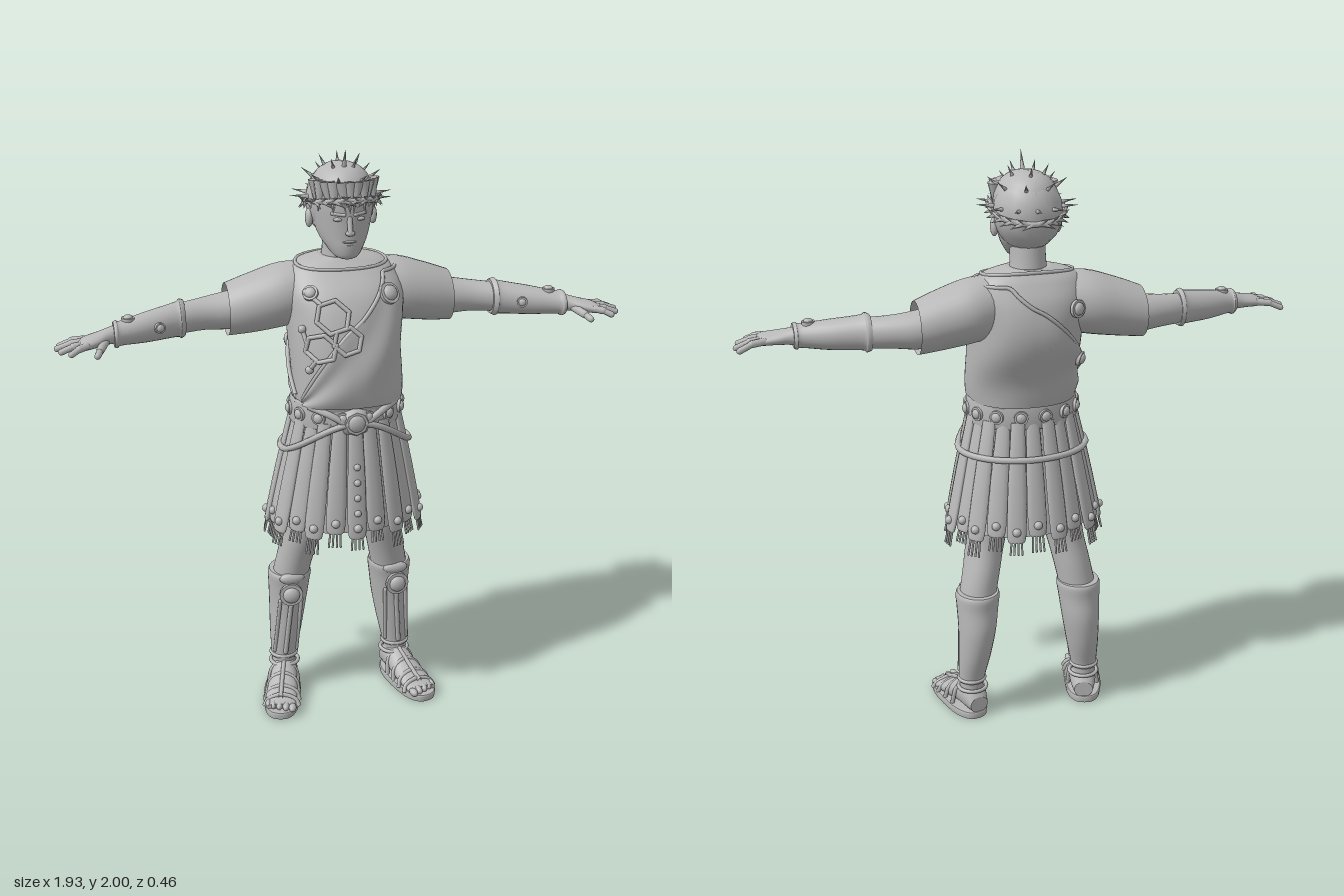
import * as THREE from 'three';
import { mergeGeometries } from 'three/addons/utils/BufferGeometryUtils.js';

const V = (x, y, z) => new THREE.Vector3(x, y, z);
const UP = V(0, 1, 0);

// Catmull-Rom refinement of cross-section rows [t, u, v, ru, rv]
function refine(rows, k) {
  const out = [];
  for (let i = 0; i < rows.length - 1; i++) {
    const a = rows[Math.max(i - 1, 0)], b = rows[i], c = rows[i + 1], d = rows[Math.min(i + 2, rows.length - 1)];
    for (let j = 0; j < k; j++) {
      const t = j / k;
      out.push(b.map((_, m) => b[m] + 0.5 * t * (c[m] - a[m] + t * (2 * a[m] - 5 * b[m] + 4 * c[m] - d[m] + t * (3 * (b[m] - c[m]) + d[m] - a[m])))));
    }
  }
  out.push(rows[rows.length - 1]);
  return out;
}
const sup = (w, e) => Math.sign(w) * Math.abs(w) ** (2 / e);
const clean = g => { g.deleteAttribute('uv'); return g; };
const join = list => mergeGeometries(list);

// Skin over superellipse rings along an axis (t rising), with capped ends unless open
function loft(rows, { axis = 'y', n = 28, e = 2, open = false, k = 4 } = {}) {
  const R = refine(rows, k), pos = [], idx = [];
  const put = (t, u, v) => pos.push(...(axis === 'y' ? [u, t, v] : axis === 'x' ? [t, v, u] : [v, u, t]));
  const ring = r => {
    for (let j = 0; j < n; j++) {
      const a = j / n * Math.PI * 2;
      put(r[0], r[1] + r[3] * sup(Math.cos(a), e), r[2] + r[4] * sup(Math.sin(a), e));
    }
  };
  R.forEach(ring);
  for (let i = 0; i < R.length - 1; i++) for (let j = 0; j < n; j++) {
    const p = i * n + j, q = i * n + (j + 1) % n;
    idx.push(p, p + n, q, q, p + n, q + n);
  }
  if (!open) for (const [r, top] of [[R[0], 0], [R[R.length - 1], 1]]) {
    const c = pos.length / 3;
    put(r[0], r[1], r[2]);
    ring(r);
    for (let j = 0; j < n; j++) {
      const p = c + 1 + j, q = c + 1 + (j + 1) % n;
      top ? idx.push(c, q, p) : idx.push(c, p, q);
    }
  }
  const g = new THREE.BufferGeometry();
  g.setAttribute('position', new THREE.Float32BufferAttribute(pos, 3));
  g.setIndex(idx);
  g.computeVertexNormals();
  return g;
}

// Put a geometry at p with its y axis along dir
const aim = (g, p, dir) => clean(g).applyQuaternion(new THREE.Quaternion().setFromUnitVectors(UP, dir.clone().normalize())).translate(p.x, p.y, p.z);
const capsule = (a, b, r) => aim(new THREE.CapsuleGeometry(r, a.distanceTo(b), 4, 10), a.clone().lerp(b, 0.5), b.clone().sub(a));
const spike = (p, dir, len, r) => aim(new THREE.ConeGeometry(r, len, 7).translate(0, len / 2, 0), p, dir);
const ball = (p, rx, ry = rx, rz = rx) => clean(new THREE.SphereGeometry(1, 14, 10)).scale(rx, ry, rz).translate(p.x, p.y, p.z);
const tube = (pts, r, closed = false, seg = 60) => clean(new THREE.TubeGeometry(new THREE.CatmullRomCurve3(pts, closed), seg, r, 7, closed));
const stud = (p, dir, r) => join([
  aim(new THREE.CylinderGeometry(r, r, 0.012, 18), p, dir),
  aim(new THREE.SphereGeometry(r * 0.72, 14, 8).scale(1, 0.6, 1), p.clone().addScaledVector(dir, 0.006), dir)]);
function mirror(g) {
  const m = g.clone().scale(-1, 1, 1), ix = m.index.array;
  for (let i = 0; i < ix.length; i += 3) [ix[i], ix[i + 1]] = [ix[i + 1], ix[i]];
  return m;
}

// Torso profile, shared by everything lying on it
const torsoRows = [[1.12, 0, 0.025, 0.172, 0.138], [1.18, 0, 0.027, 0.178, 0.156], [1.25, 0, 0.018, 0.18, 0.168],
  [1.35, 0, -0.005, 0.185, 0.184], [1.45, 0, -0.025, 0.19, 0.179], [1.53, 0, -0.04, 0.195, 0.154],
  [1.59, 0, -0.055, 0.178, 0.108], [1.62, 0, -0.06, 0.14, 0.08], [1.635, 0, -0.06, 0.075, 0.065]];
const torsoFine = refine(torsoRows, 6);
function onTorso(a, y, off = 0) {
  let i = 0;
  while (i < torsoFine.length - 2 && torsoFine[i + 1][0] < y) i++;
  const p = torsoFine[i], q = torsoFine[i + 1], t = (y - p[0]) / (q[0] - p[0]);
  const r = p.map((w, m) => w + (q[m] - w) * t);
  return V((r[3] + off) * sup(Math.cos(a), 2.4), y, r[2] + (r[4] + off) * sup(Math.sin(a), 2.4));
}
function normalAt(a, y) {
  const u = onTorso(a - 0.05, y).sub(onTorso(a + 0.05, y)), w = onTorso(a, y + 0.01).sub(onTorso(a, y - 0.01));
  return w.cross(u).normalize().multiplyScalar(-1);
}
// Skirt cone: t = 0 at the belt, 1 at the hem
const onSkirt = (a, t, off = 0) => V((0.172 + 0.088 * t + off) * Math.cos(a), 1.11 - 0.41 * t, 0.025 - 0.02 * t + (0.138 + 0.052 * t + off) * Math.sin(a));

export function createModel() {
  const model = new THREE.Group();
  const grey = new THREE.MeshStandardMaterial({ color: 0xb8b8b8, side: THREE.DoubleSide });
  grey.name = 'stone grey';
  const add = (name, g) => { const m = new THREE.Mesh(g, grey); m.name = name; model.add(m); };
  const pair = (name, g) => { add(name + 'Left', g); add(name + 'Right', mirror(g)); };
  const outward = (a, y) => { const d = normalAt(a, y), p = onTorso(a, y); return d.x * p.x + d.z * (p.z + 0.01) < 0 ? d.negate() : d; };

  // Head, face and hair
  add('neck', loft([[1.56, 0, -0.06, 0.085, 0.075], [1.63, 0, -0.058, 0.062, 0.064], [1.72, 0, -0.05, 0.058, 0.062]]));
  add('head', loft([[1.645, 0, 0.05, 0.02, 0.02], [1.655, 0, 0.038, 0.042, 0.045], [1.685, 0, 0.01, 0.065, 0.079], [1.72, 0, -0.015, 0.084, 0.104],
    [1.77, 0, -0.03, 0.098, 0.121], [1.82, 0, -0.035, 0.106, 0.128], [1.87, 0, -0.035, 0.103, 0.123], [1.91, 0, -0.035, 0.083, 0.102], [1.935, 0, -0.035, 0.05, 0.065], [1.945, 0, -0.035, 0.006, 0.006]]));
  add('nose', join([capsule(V(0, 1.785, 0.087), V(0, 1.742, 0.1), 0.009), ball(V(0, 1.738, 0.097), 0.016, 0.01, 0.012)]));
  add('mouth', join([ball(V(0, 1.707, 0.083), 0.024, 0.005, 0.012), ball(V(0, 1.698, 0.079), 0.019, 0.006, 0.012)]));
  pair('eye', ball(V(0.036, 1.782, 0.08), 0.017, 0.007, 0.009));
  pair('brow', capsule(V(0.018, 1.797, 0.089), V(0.055, 1.801, 0.074), 0.006));
  pair('ear', ball(V(0.108, 1.765, -0.035), 0.013, 0.032, 0.021));
  const locks = [ball(V(0, 1.815, -0.053), 0.116, 0.13, 0.122)];
  for (let i = -5; i <= 5; i++) {
    const a = Math.PI / 2 + i * 0.24;
    locks.push(spike(V(0.1 * Math.cos(a), 1.9, -0.035 + 0.112 * Math.sin(a)), V(0.15 * Math.cos(a) + (i % 2) * 0.15, -1, 0.2 * Math.sin(a)), 0.1, 0.026));
  }
  add('hair', join(locks));

  // Leafy wreath and thorns
  const wreathAt = (a, r = 0) => V((0.118 + r) * Math.cos(a), 1.82 + 0.025 * Math.sin(a), -0.038 + (0.137 + r) * Math.sin(a));
  const leaves = [tube(Array.from({ length: 24 }, (_, i) => wreathAt(i * Math.PI / 12)), 0.009, true)];
  for (let i = 0; i < 44; i++) {
    const a = i / 44 * Math.PI * 2, s = Math.cos(a) < 0 ? -1 : 1;
    leaves.push(spike(wreathAt(a), V(-Math.sin(a) * s + 0.4 * Math.cos(a), i % 2 ? 0.55 : -0.45, Math.cos(a) * s + 0.4 * Math.sin(a)), 0.045, 0.009));
  }
  add('wreath', join(leaves));
  const thorns = [];
  [[0.12, 12, 0.065], [0.65, 8, 0.055], [1.1, 5, 0.05]].forEach(([el, count, len], row) => {
    for (let i = 0; i < count; i++) {
      const a = (i + row * 0.4) / count * Math.PI * 2;
      const d = V(Math.cos(el) * Math.cos(a), Math.sin(el), Math.cos(el) * Math.sin(a));
      thorns.push(spike(V(d.x * 0.108, 1.82 + d.y * 0.115, -0.04 + d.z * 0.122), d, len, 0.008));
    }
  });
  thorns.push(spike(V(0, 1.935, 0.01), V(0, 1, 0.3), 0.067, 0.009));
  add('thorns', join(thorns));

  // Tunic, sleeves and sash
  add('tunic', loft(torsoRows, { e: 2.4, n: 48, k: 6 }));
  pair('sleeve', loft([[0.1, -0.065, 1.51, 0.09, 0.1], [0.2, -0.07, 1.5, 0.112, 0.108], [0.3, -0.073, 1.478, 0.106, 0.1], [0.385, -0.08, 1.458, 0.094, 0.088]], { axis: 'x', open: true }));
  const A0 = 2.65, A1 = -3.35, cols = 72, rowsN = 16, sp = [], si = [], edge = [];
  for (let i = 0; i <= cols; i++) {
    const a = A0 + (A1 - A0) * i / cols, f = a > 0 ? (A0 - a) / 1.75 : (a - A1) / 2.2;
    const top = 1.19 + 0.4 * Math.min(1, Math.max(0, f));
    edge.push(onTorso(a, top, 0.007));
    for (let j = 0; j <= rowsN; j++) {
      const w = j / rowsN, p = onTorso(a, 1.165 + (top - 1.165) * w, 0.009 + 0.004 * Math.sin(a * 3 + w * 9));
      sp.push(p.x, p.y, p.z);
      const q = i * (rowsN + 1) + j;
      if (i < cols && j < rowsN) si.push(q, q + 1, q + rowsN + 1, q + 1, q + rowsN + 2, q + rowsN + 1);
    }
  }
  for (let i = 0; i < si.length; i += 3) [si[i], si[i + 1]] = [si[i + 1], si[i]];
  const sash = new THREE.BufferGeometry();
  sash.setAttribute('position', new THREE.Float32BufferAttribute(sp, 3));
  sash.setIndex(si);
  sash.computeVertexNormals();
  add('sash', sash);
  add('sashHem', tube(edge, 0.007, false, 120));
  add('neckline', tube(Array.from({ length: 16 }, (_, i) => onTorso(i * Math.PI / 8, 1.615 - 0.012 * Math.sin(i * Math.PI / 8), 0.002)), 0.006, true));

  // Brooches and hexagonal chest ornament
  const brooches = [[0.95, 1.53, 0.037], [2.2, 1.545, 0.026], [-2.2, 1.51, 0.03], [-2.5, 1.32, 0.026]].map(([a, y, r]) => stud(onTorso(a, y, 0.012), outward(a, y), r));
  add('brooches', join(brooches));
  const angleOf = (x, y) => { let lo = 0, hi = Math.PI; for (let i = 0; i < 30; i++) { const m = (lo + hi) / 2; onTorso(m, y).x > x ? lo = m : hi = m; } return lo; };
  const chestAt = (x, y) => onTorso(angleOf(x, y), y, 0.012);
  const lattice = [];
  for (const [hx, hy, r] of [[-0.065, 1.475, 0.052], [-0.025, 1.4, 0.045], [-0.105, 1.375, 0.046]])
    for (let i = 0; i < 6; i++) {
      const c = m => chestAt(hx + r * Math.cos(m * Math.PI / 3 + 0.3), hy + r * Math.sin(m * Math.PI / 3 + 0.3));
      lattice.push(capsule(c(i), c(i + 1), 0.0075));
    }
  for (const [a, b, c, d] of [[-0.1, 1.515, -0.135, 1.545], [-0.12, 1.335, -0.14, 1.3], [-0.145, 1.39, -0.155, 1.43]])
    lattice.push(capsule(chestAt(a, b), chestAt(c, d), 0.0075), ball(chestAt(c, d), 0.014));
  add('chestOrnament', join(lattice));

  // Belt, buckle and hanging cord
  add('belt', loft([[1.085, 0, 0.025, 0.186, 0.145], [1.09, 0, 0.025, 0.194, 0.153], [1.165, 0, 0.025, 0.19, 0.153], [1.17, 0, 0.025, 0.182, 0.145]], { n: 40, k: 2 }));
  const beltStuds = [];
  for (let i = 0; i < 14; i++) {
    const a = Math.PI / 2 + (i + 0.5) / 14 * Math.PI * 2;
    beltStuds.push(stud(V(0.192 * Math.cos(a), 1.128, 0.025 + 0.155 * Math.sin(a)), V(Math.cos(a), 0, Math.sin(a)), 0.024));
  }
  add('beltStuds', join(beltStuds));
  add('buckle', join([aim(new THREE.CylinderGeometry(0.04, 0.055, 0.022, 8), V(0, 1.115, 0.185), V(0, 0, 1)), ball(V(0, 1.115, 0.194), 0.03, 0.03, 0.014)]));
  const cord = Array.from({ length: 32 }, (_, i) => {
    const a = i / 32 * Math.PI * 2, t = 0.3 - 0.31 * Math.max(0, Math.sin(a)) ** 2;
    return onSkirt(a, t, 0.026);
  });
  add('hipCord', tube(cord, 0.011, true, 100));
  pair('frontStrap', tube([V(0.03, 1.11, 0.184), V(0.09, 1.145, 0.17), V(0.15, 1.165, 0.128)], 0.012, false, 16));

  // Skirt lining and overlapping strips with studs and tassels
  add('skirtLining', loft([[0.71, 0, 0.005, 0.243, 0.174], [0.9, 0, 0.015, 0.205, 0.152], [1.12, 0, 0.025, 0.165, 0.13]], { open: true, n: 40 }));
  const strips = [], stripStuds = [], tassels = [];
  const N = 22;
  for (let i = 0; i < N; i++) {
    const a = Math.PI / 2 + i / N * Math.PI * 2, off = i % 2 ? 0.004 : 0.013;
    const hi = onSkirt(a, 0, off), lo = onSkirt(a, i % 2 ? 0.96 : 1, off), L = hi.distanceTo(lo);
    const Y = hi.clone().sub(lo).normalize(), X = onSkirt(a - 0.05, 0.7).sub(onSkirt(a + 0.05, 0.7)).normalize();
    const Z = X.clone().cross(Y).normalize();
    const at = (x, y, z) => lo.clone().addScaledVector(X, x).addScaledVector(Y, y).addScaledVector(Z, z);
    const basis = new THREE.Matrix4().makeBasis(Y.clone().cross(Z), Y, Z).setPosition(lo);
    strips.push(loft([[0, 0, 0, 0.022, 0.008], [0.03, 0, 0, 0.033, 0.011], [L * 0.5, 0, 0, 0.031, 0.013], [L, 0, 0, 0.023, 0.01]], { n: 12, k: 3 }).applyMatrix4(basis));
    stripStuds.push(ball(at(0, 0.04, 0.01), 0.015));
    for (const x of [-0.017, -0.006, 0.006, 0.017]) tassels.push(capsule(at(x, 0.01, 0), at(x * 1.2, -0.04 - (i % 3) * 0.007, 0), 0.0035));
    if (i === 0) for (let s = 1; s < 5; s++) stripStuds.push(ball(at(0, 0.04 + s * 0.055, 0.013), 0.012));
  }
  add('skirtStrips', join(strips));
  add('skirtStuds', join(stripStuds));
  add('skirtTassels', join(tassels));
  add('hips', loft([[0.78, 0, 0, 0.1, 0.07], [0.85, 0, 0, 0.165, 0.11], [1.1, 0, 0.02, 0.16, 0.12]]));

  // Arms, bracers and hands
  pair('arm', loft([[0.2, -0.083, 1.48, 0.07, 0.075], [0.36, -0.085, 1.455, 0.068, 0.066], [0.46, -0.075, 1.45, 0.056, 0.055], [0.56, -0.045, 1.445, 0.05, 0.05],
    [0.68, -0.005, 1.437, 0.044, 0.042], [0.77, 0.025, 1.432, 0.034, 0.029], [0.82, 0.045, 1.426, 0.044, 0.023], [0.865, 0.06, 1.42, 0.049, 0.019], [0.885, 0.067, 1.416, 0.042, 0.012]], { axis: 'x' }));
  pair('bracer', loft([[0.53, -0.052, 1.447, 0.057, 0.06], [0.545, -0.047, 1.447, 0.062, 0.066], [0.56, -0.042, 1.446, 0.055, 0.058], [0.66, -0.01, 1.438, 0.052, 0.05],
    [0.745, 0.02, 1.433, 0.044, 0.04], [0.76, 0.025, 1.432, 0.05, 0.045], [0.77, 0.028, 1.432, 0.046, 0.041]], { axis: 'x', n: 24 }));
  pair('bracerStud', join([stud(V(0.72, 1.476, 0.013), V(0, 1, 0), 0.022), stud(V(0.62, 1.445, 0.035), V(-0.3, 0.1, 1).normalize(), 0.018)]));
  const fingers = [[0.022, 0.945, 0.008], [0.047, 0.953, 0.04], [0.073, 0.942, 0.083], [0.097, 0.912, 0.122]].map(([z, tx, tz], i) => join([
    capsule(V(0.862, 1.422, z), V(0.862 + (tx - 0.862) * 0.5, 1.418, z + (tz - z) * 0.5), 0.0125), capsule(V(0.862 + (tx - 0.862) * 0.5, 1.418, z + (tz - z) * 0.5), V(tx, 1.4 + i * 0.002, tz), 0.0105)]));
  fingers.push(capsule(V(0.8, 1.42, 0.06), V(0.82, 1.41, 0.108), 0.014), capsule(V(0.82, 1.41, 0.108), V(0.832, 1.4, 0.138), 0.011));
  pair('fingers', join(fingers));

  // Legs and greaves
  pair('leg', loft([[0.06, 0.21, -0.065, 0.042, 0.045], [0.14, 0.21, -0.065, 0.042, 0.044], [0.32, 0.192, -0.078, 0.058, 0.072], [0.45, 0.183, -0.06, 0.064, 0.07],
    [0.55, 0.165, -0.043, 0.065, 0.076], [0.66, 0.142, -0.018, 0.068, 0.083], [0.8, 0.115, -0.01, 0.085, 0.095], [0.9, 0.1, 0, 0.085, 0.095]]));
  pair('greave', loft([[0.13, 0.21, -0.065, 0.047, 0.048], [0.15, 0.209, -0.065, 0.047, 0.048], [0.24, 0.2, -0.074, 0.057, 0.067], [0.34, 0.191, -0.078, 0.066, 0.078],
    [0.42, 0.187, -0.07, 0.073, 0.079], [0.465, 0.185, -0.065, 0.077, 0.085], [0.48, 0.184, -0.065, 0.073, 0.08]]));
  pair('greaveRim', clean(new THREE.TorusGeometry(0.046, 0.007, 8, 28)).rotateX(Math.PI / 2).translate(0.21, 0.14, -0.065));
  pair('kneeGuard', join([stud(V(0.195, 0.41, 0.018), V(0.1, 0, 1).normalize(), 0.042), ball(V(0.19, 0.47, 0.008), 0.045, 0.022, 0.018),
    capsule(V(0.195, 0.36, 0.008), V(0.212, 0.16, -0.016), 0.009),
    capsule(V(0.155, 0.38, 0.002), V(0.168, 0.16, -0.038), 0.007), capsule(V(0.232, 0.38, 0), V(0.248, 0.16, -0.038), 0.007)]));

  // Sandalled feet, turned outward
  const turn = g => g.rotateY(0.24).translate(0.208, 0, -0.065);
  pair('foot', turn(loft([[-0.052, 0.05, 0, 0.03, 0.034], [-0.01, 0.075, 0, 0.06, 0.046], [0.05, 0.065, 0, 0.05, 0.048], [0.11, 0.048, 0.003, 0.036, 0.054],
    [0.18, 0.034, 0.006, 0.02, 0.056], [0.215, 0.03, 0.006, 0.014, 0.05]], { axis: 'z' })));
  pair('toes', turn(join([-0.038, -0.014, 0.01, 0.031, 0.05].map((x, i) => ball(V(x, 0.033, 0.222 - i * 0.007), 0.0135 - i * 0.0008, 0.014, 0.022)))));
  pair('sole', turn(loft([[0, 0.005, 0.095, 0.064, 0.153], [0.02, 0.005, 0.095, 0.067, 0.156], [0.024, 0.005, 0.095, 0.063, 0.152]], { e: 2.6, k: 1, n: 36 })));
  const straps = [[0.04, 0.118, 0.052], [0.09, 0.093, 0.056], [0.14, 0.07, 0.06], [0.18, 0.058, 0.06]].map(([z, y, w]) =>
    tube([V(-w, 0.02, z + 0.01), V(-w * 0.8, y * 0.72, z), V(0.003, y, z - 0.005), V(w * 0.85, y * 0.72, z), V(w + 0.005, 0.02, z + 0.01)], 0.008, false, 20));
  straps.push(tube([V(0, 0.12, 0.035), V(0.003, 0.09, 0.1), V(0.006, 0.055, 0.19)], 0.008, false, 12));
  straps.push(clean(new THREE.TorusGeometry(0.05, 0.007, 8, 28)).rotateX(Math.PI / 2).translate(0, 0.105, 0));
  pair('sandalStraps', turn(join(straps)));
  return model;
}
